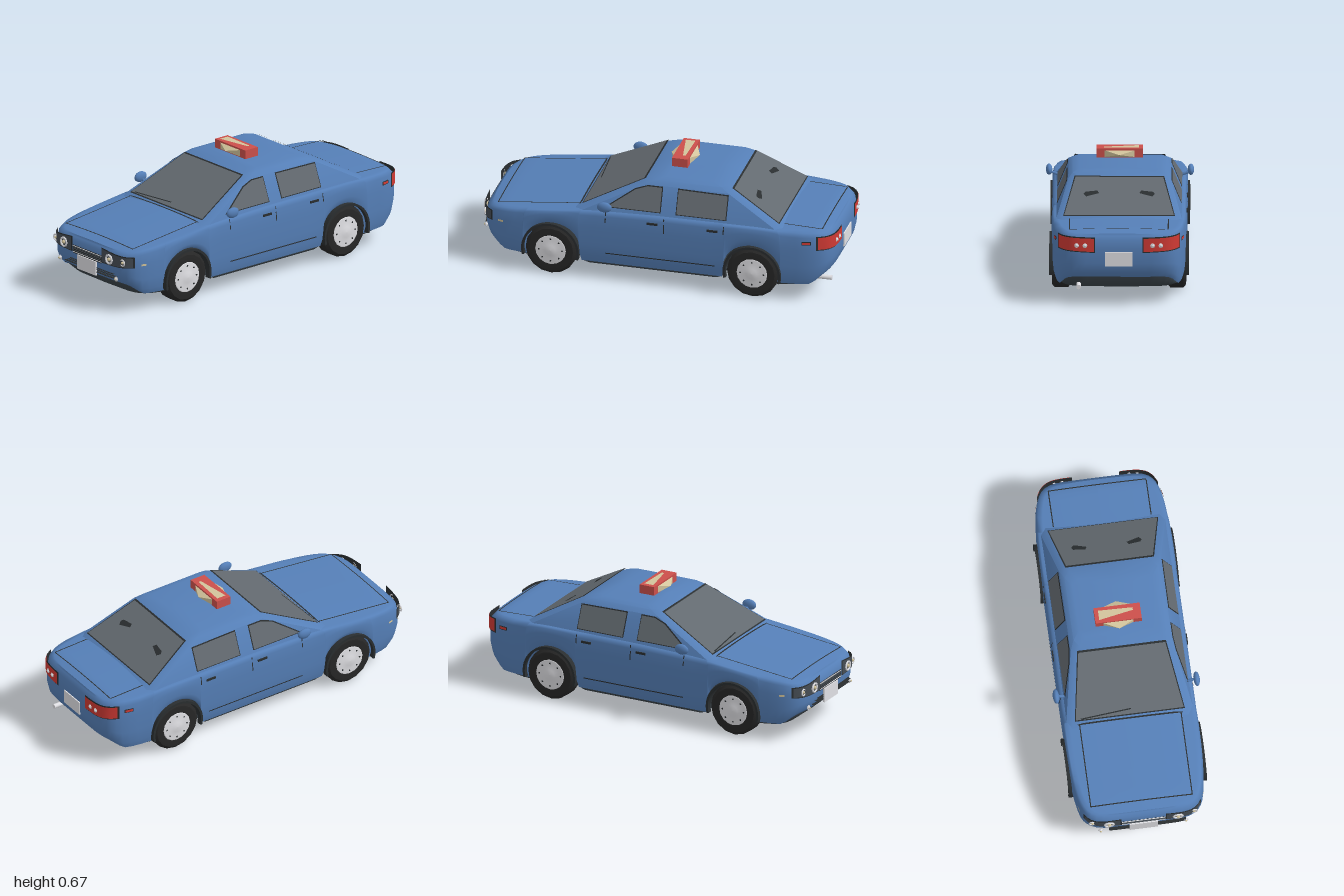
import * as THREE from 'three';
import { toCreasedNormals } from 'three/addons/utils/BufferGeometryUtils.js';

const color = (name, hex) => {
  const m = new THREE.MeshStandardMaterial({ color: hex, side: THREE.DoubleSide });
  m.name = name;
  return m;
};

// Linear lookup in a short table of [key, value] pairs with rising keys
function lookup(table, k) {
  if (k <= table[0][0]) return table[0][1];
  for (let i = 1; i < table.length; i++) {
    const [a, va] = table[i - 1], [b, vb] = table[i];
    if (k <= b) return va + (vb - va) * (k - a) / (b - a);
  }
  return table[table.length - 1][1];
}

// Body dimensions
const HALF_W = 0.37, HALF_L = 0.99, POW = 7, ARCH_R = 0.158, AXLES = [0.59, -0.55], HUB_Y = 0.146;
const SHOULDER = [[-0.99, 0.392], [-0.93, 0.408], [-0.6, 0.418], [0, 0.415], [0.4, 0.405], [0.9, 0.35], [0.99, 0.332]];
const TUCK = [[0, 0.96], [0.12, 0.985], [0.35, 1], [0.7, 1], [0.92, 0.99], [1, 0.968]];
const halfWidth = z => HALF_W * Math.pow(Math.max(0, 1 - Math.pow(Math.abs(z) / HALF_L, POW)), 1 / POW);
const endZ = x => HALF_L * Math.pow(1 - Math.pow(Math.abs(x) / HALF_W, POW), 1 / POW);
const shoulder = z => lookup(SHOULDER, z);
const sill = z => 0.1 + 0.06 * THREE.MathUtils.smoothstep(Math.abs(z), 0.88, 0.99);
function hem(z) {
  for (const c of AXLES) {
    const d = Math.abs(z - c);
    if (d < ARCH_R + 0.0005) return HUB_Y + Math.sqrt(Math.max(0, ARCH_R ** 2 - d * d));
  }
  return sill(z);
}
const deckY = (x, z) => shoulder(z) + 0.012 * (1 - (x / HALF_W) ** 2);
const sideX = (y, z) => halfWidth(z) * lookup(TUCK, (y - sill(z)) / (shoulder(z) - sill(z)));

const closeLoop = half => half.concat(half.slice(1, -1).reverse().map(([x, z]) => [-x, z]));

// Plan outline of the body, from the nose along the +x side to the tail
function outline() {
  const xs = [0, 0.06, 0.12, 0.18, 0.22, 0.26, 0.29, 0.31];
  const corner = [0.92, 0.89, 0.85, 0.8];
  const zs = [...corner];
  AXLES.forEach((c, i) => {
    zs.push(c + ARCH_R + 0.002);
    for (let k = 0; k <= 16; k++) zs.push(c + ARCH_R * Math.cos(k * Math.PI / 16));
    zs.push(c - ARCH_R - 0.002);
    if (i === 0) for (let k = 1; k < 10; k++) zs.push(0.42 - k * 0.08);
  });
  zs.push(...corner.map(z => -z).reverse());
  return closeLoop([
    ...xs.map(x => [x, endZ(x)]),
    ...zs.map(z => [halfWidth(z), z]),
    ...xs.reverse().map(x => [x, -endZ(x)])]);
}

// Skin over closed rows of points
function skin(rows) {
  const n = rows[0].length, index = [];
  for (let i = 0; i < rows.length - 1; i++) for (let j = 0; j < n; j++) {
    const a = i * n + j, b = i * n + (j + 1) % n;
    index.push(a, b, b + n, a, b + n, a + n);
  }
  const g = new THREE.BufferGeometry();
  g.setAttribute('position', new THREE.Float32BufferAttribute(rows.flat(2), 3));
  g.setIndex(index);
  g.computeVertexNormals();
  return g;
}

// Move each vertex of a flat geometry onto a surface
function drape(g, map) {
  const p = g.attributes.position;
  for (let i = 0; i < p.count; i++) p.setXYZ(i, ...map(p.getX(i), p.getY(i)));
  g.computeVertexNormals();
  return g;
}

export function createModel() {
  const car = new THREE.Group();
  car.name = 'car';
  const blue = color('blue paint', 0x557fb7), black = color('black trim', 0x2a2e30);
  const under = color('underbody grey', 0x3b444a), rubber = color('tyre rubber', 0x272727);
  const glass = color('tinted glass', 0x636a70), housing = color('lamp housing', 0x464d54);
  const silver = color('silver', 0xe0e0e4), cream = color('cream lens', 0xd2c49c);
  const signRed = color('sign red', 0xcc504b), tailRed = color('tail light red', 0xd03a34);

  const add = (name, g, m, pos = [0, 0, 0], rot = [0, 0, 0]) => {
    const mesh = new THREE.Mesh(g, m);
    mesh.name = name;
    mesh.position.set(...pos);
    mesh.rotation.set(...rot);
    car.add(mesh);
    return mesh;
  };
  const box = (name, m, size, pos) => add(name, new THREE.BoxGeometry(...size), m, pos);
  // Four-sided patch: u from u0 to u1, v bottom and top at both ends
  const panel = (name, m, u0, u1, [b0, b1], [t0, t1], map) =>
    add(name, drape(new THREE.PlaneGeometry(1, 1, 10, 1), (a, b) => {
      const s = a + 0.5, lo = b0 + (b1 - b0) * s, hi = t0 + (t1 - t0) * s;
      return map(u0 + (u1 - u0) * s, lo + (hi - lo) * (b + 0.5));
    }), m);
  const plate = (name, m, pts, map) =>
    add(name, drape(new THREE.ShapeGeometry(new THREE.Shape(pts.map(p => new THREE.Vector2(...p)))), map), m);

  // Body shell with open wheel arches, hood and boot deck
  const loop = outline();
  const rows = TUCK.map(([t, s]) => loop.map(([x, z]) =>
    [x * s, hem(z) + t * (shoulder(z) - hem(z)), z * (1 - (1 - s) * 0.8)]));
  for (const r of [0.9, 0.65, 0.35, 0]) rows.push(loop.map(([x, z]) =>
    [x * r, deckY(x * r, z), z * 0.97]));
  add('body', skin(rows), blue);

  // Underbody with notches for the wheels
  const notch = (x, z) => AXLES.some(c => Math.abs(z - c) < ARCH_R + 0.001)
    ? THREE.MathUtils.clamp(x, -0.25, 0.25) : x;
  add('underbody', skin([
    loop.map(([x, z]) => [0, 0.083, z * 0.88]),
    loop.map(([x, z]) => [notch(x * 0.93, z), 0.085, z * 0.88]),
    loop.map(([x, z]) => [notch(x * 0.957, z), sill(z) + 0.002, z * 0.966]),
    loop.map(([x, z]) => [notch(x * 0.93, z), 0.3, z * 0.94])]), under);

  // Cabin: rows of y, half width, front z, back z
  const levels = [[0.4, 0.35, 0.46, -0.74], [0.43, 0.338, 0.4, -0.69], [0.57, 0.28, 0.115, -0.435],
    [0.593, 0.257, 0.06, -0.388], [0.603, 0.22, 0.01, -0.33], [0.607, 0, 0, -0.3]];
  add('cabin', toCreasedNormals(skin(levels.map(([y, w, f, b]) => {
    const c = Math.min(w, 0.03);
    return closeLoop([[0, f], [w - c, f], [w, f - 0.04], [w, b + 0.04], [w - c, b], [0, b]])
      .map(([x, z]) => [x, y, z]);
  })), 0.6), blue);

  // Windscreens and wiper
  const screen = d => (x, y) => [x, y, 0.4 - (y - 0.43) * 2.036 + d];
  const backlight = d => (x, y) => [x, y, -0.69 + (y - 0.43) * 1.82 - d];
  const trapezoid = (w0, y0, w1, y1) => [[-w0, y0], [w0, y0], [w1, y1], [-w1, y1]];
  plate('windscreenSeal', black, trapezoid(0.304, 0.42, 0.245, 0.59), screen(0.008));
  plate('windscreen', glass, trapezoid(0.298, 0.425, 0.24, 0.587), screen(0.013));
  plate('wiper', black, [[-0.27, 0.427], [0.01, 0.438], [0.01, 0.441], [-0.27, 0.43]], screen(0.018));
  plate('rearWindowSeal', black, trapezoid(0.306, 0.435, 0.245, 0.59), backlight(0.008));
  plate('rearWindow', glass, trapezoid(0.3, 0.44, 0.24, 0.587), backlight(0.013));

  const deck = (x, z) => [x, deckY(x, z) + 0.004, z];
  const front = d => (x, y) => [x, y, endZ(x) + d];
  const back = d => (x, y) => [x, y, -endZ(x) - d];
  const lamp = (name, x, y, z, r, lens, lensScale) => {
    add(name + 'Rim', new THREE.TorusGeometry(r, r * 0.24, 6, 8), silver, [x, y, z]);
    add(name + 'Lens', new THREE.SphereGeometry(r * lensScale, 8, 6), lens, [x, y, z]);
  };

  for (const s of [1, -1]) {
    // Side windows
    const side = d => (z, y) => [s * (0.338 - (y - 0.43) * 0.414 + d), y, z];
    plate('frontWindowSeal', black, [[0.292, 0.432], [0.13, 0.545], [0.06, 0.568], [-0.026, 0.568], [-0.026, 0.432]], side(0.003));
    plate('frontWindow', glass, [[0.276, 0.437], [0.126, 0.541], [0.06, 0.563], [-0.021, 0.563], [-0.021, 0.437]], side(0.006));
    plate('rearDoorWindowSeal', black, [[-0.11, 0.432], [-0.398, 0.432], [-0.398, 0.564], [-0.11, 0.568]], side(0.003));
    plate('rearDoorWindow', glass, [[-0.115, 0.437], [-0.393, 0.437], [-0.393, 0.559], [-0.115, 0.563]], side(0.006));
    plate('rearWindowVent', black, [[s * 0.11, 0.525], [s * 0.18, 0.512], [s * 0.195, 0.522], [s * 0.185, 0.53], [s * 0.12, 0.535]], backlight(0.018));

    // Door gaps, handles and side markers
    const flank = (z, y) => [s * (sideX(y, z) + 0.003), y, z];
    for (const [z, y] of [[0.28, 0.35], [-0.05, 0.325]])
      panel('doorGap', black, z - 0.003, z + 0.003, [y, y], [0.408, 0.408], flank);
    panel('doorBottomGap', black, 0.28, -0.34, [0.162, 0.162], [0.168, 0.168], flank);
    panel('doorRearGap', black, -0.385, -0.391, [0.36, 0.36], [0.408, 0.408], flank);
    for (const z of [0.015, -0.325]) box('doorHandle', black, [0.014, 0.012, 0.06], [s * 0.366, 0.375, z]);
    panel('frontMarker', cream, 0.895, 0.865, [0.27, 0.27], [0.281, 0.281], flank);
    panel('rearMarkerFrame', black, -0.827, -0.878, [0.345, 0.345], [0.366, 0.366], flank);
    panel('rearMarker', tailRed, -0.831, -0.874, [0.349, 0.349], [0.362, 0.362],
      (z, y) => [s * (sideX(y, z) + 0.005), y, z]);

    // Hood and boot side gaps
    panel('hoodSideGap', black, s * 0.277, s * 0.283, [0.44, 0.44], [0.91, 0.91], deck);
    panel('bootSideGap', black, s * 0.267, s * 0.273, [-0.92, -0.92], [-0.71, -0.71], deck);

    // Headlights, fog lamps and tail lights
    panel('headlightFrame', black, s * 0.122, s * 0.324, [0.258, 0.262], [0.346, 0.324], front(0.008));
    panel('headlightHousing', housing, s * 0.128, s * 0.32, [0.263, 0.267], [0.341, 0.319], front(0.011));
    lamp('mainHeadlight', s * 0.19, 0.295, endZ(0.19) + 0.013, 0.025, cream, 0.45);
    lamp('outerHeadlight', s * 0.28, 0.293, endZ(0.28) + 0.013, 0.018, cream, 0.45);
    lamp('fogLamp', s * 0.235, 0.19, endZ(0.235) + 0.004, 0.012, silver, 0.85);
    add('fogBulb', new THREE.SphereGeometry(0.006, 8, 6), cream, [s * 0.235, 0.19, endZ(0.235) + 0.012]);
    panel('tailLightFrame', black, s * 0.13, s * 0.334, [0.303, 0.312], [0.39, 0.396], back(0.005));
    panel('tailLight', tailRed, s * 0.136, s * 0.331, [0.309, 0.318], [0.384, 0.39], back(0.009));
    for (const x of [0.185, 0.23]) lamp('reverseLamp', s * x, 0.345, -endZ(x) - 0.009, 0.011, silver, 0.9);

    // Door mirror
    const mirror = add('doorMirror', new THREE.SphereGeometry(1, 14, 10), blue, [s * 0.388, 0.453, 0.28]);
    mirror.scale.set(0.018, 0.03, 0.042);
    add('mirrorArm', new THREE.TubeGeometry(new THREE.LineCurve3(
      new THREE.Vector3(s * 0.325, 0.422, 0.275), new THREE.Vector3(s * 0.385, 0.443, 0.275)), 1, 0.008, 6), blue);

    // Wheels, wheel wells and arch trims
    const tyre = [[0.08, 0.05], [0.095, 0.052], [0.128, 0.05], [0.145, 0.036], [0.145, -0.036], [0.128, -0.05], [0.05, -0.05]];
    const lathe = pts => new THREE.LatheGeometry(pts.map(p => new THREE.Vector2(...p)), 16);
    for (const c of AXLES) {
      const at = x => [s * x, 0.145, c], turn = [0, 0, -s * Math.PI / 2];
      add('tyre', toCreasedNormals(lathe(tyre), 0.6), rubber, at(0.316), turn);
      add('wheelDisc', lathe([[0.09, 0], [0.08, 0.006], [0.055, 0.002], [0.03, 0.01], [0, 0.012]]), silver, at(0.365), turn);
      for (let k = 0; k < 8; k++) {
        const a = k * Math.PI / 4;
        add('wheelHole', new THREE.CylinderGeometry(0.005, 0.005, 0.008, 6), black,
          [s * 0.367, 0.145 + 0.066 * Math.sin(a), c + 0.066 * Math.cos(a)], turn);
      }
      add('wheelWell', new THREE.CylinderGeometry(0.156, 0.156, 0.12, 24, 1, true, 0, Math.PI), black,
        [s * 0.305, HUB_Y, c], [0, 0, Math.PI / 2]);
      const arch = new THREE.Shape();
      arch.absarc(0, 0, 0.163, -0.25, Math.PI + 0.25, false);
      arch.absarc(0, 0, 0.15, Math.PI + 0.25, -0.25, true);
      add('archTrim', new THREE.ExtrudeGeometry(arch, { depth: 0.03, bevelEnabled: false, curveSegments: 20 }),
        black, [s * 0.367 - 0.015, HUB_Y, c], [0, Math.PI / 2, 0]);
    }
  }

  // Gaps across the hood and boot
  panel('hoodRearGap', black, -0.29, 0.29, [0.438, 0.438], [0.447, 0.447], deck);
  panel('hoodFrontGap', black, -0.283, 0.283, [0.905, 0.905], [0.911, 0.911], deck);
  panel('bootRearGap', black, -0.27, 0.27, [-0.926, -0.926], [-0.92, -0.92], deck);

  // Grille, bumper slats and blank number plates
  panel('grille', black, -0.122, 0.122, [0.25, 0.25], [0.297, 0.297], front(0.005));
  for (const y of [0.267, 0.277, 0.285]) box('grilleBar', housing, [0.235, 0.002, 0.006], [0, y, 0.996]);
  for (const y of [0.258, 0.292]) box('grilleBrightBar', silver, [0.24, 0.002, 0.006], [0, y, 0.996]);
  for (const [x0, x1, y] of [[-0.19, 0.235, 0.191], [-0.16, 0.235, 0.204], [-0.145, 0.22, 0.215]]) {
    panel('bumperSlat', black, x0, x1, [-0.02, -0.02], [0.009, 0.009], (x, d) => [x, y, endZ(x) + d]);
    panel('bumperSlatEdge', black, x0, x1, [y - 0.001, y - 0.001], [y + 0.001, y + 0.001], front(0.009));
  }
  box('frontPlate', silver, [0.155, 0.08, 0.009], [0, 0.21, 0.997]);
  box('rearPlate', silver, [0.15, 0.08, 0.008], [0, 0.267, -0.992]);

  // Exhaust pipe
  add('exhaust', new THREE.CylinderGeometry(0.013, 0.013, 0.11, 10), silver, [0.22, 0.103, -0.91], [Math.PI / 2, 0, 0]);

  // Roof sign with cream lenses and low feet
  box('roofSign', signRed, [0.255, 0.05, 0.09], [0, 0.646, -0.078]);
  plate('signTopPanel', cream, [[-0.105, -0.105], [0.085, -0.1], [0.085, -0.085], [-0.105, -0.05]], (x, z) => [x, 0.673, z]);
  for (const s of [1, -1]) {
    const lens = add('signLens', toCreasedNormals(new THREE.ConeGeometry(Math.SQRT1_2, 1, 4, 1).rotateY(Math.PI / 4), 0.1),
      cream, [0, 0.643, -0.078 + s * 0.062], [s * Math.PI / 2, 0, 0]);
    lens.scale.set(0.17, 0.036, 0.038);
    box('signFoot', black, [0.02, 0.006, 0.04], [s * 0.085, 0.618, -0.078]);
  }
  return car;
}
